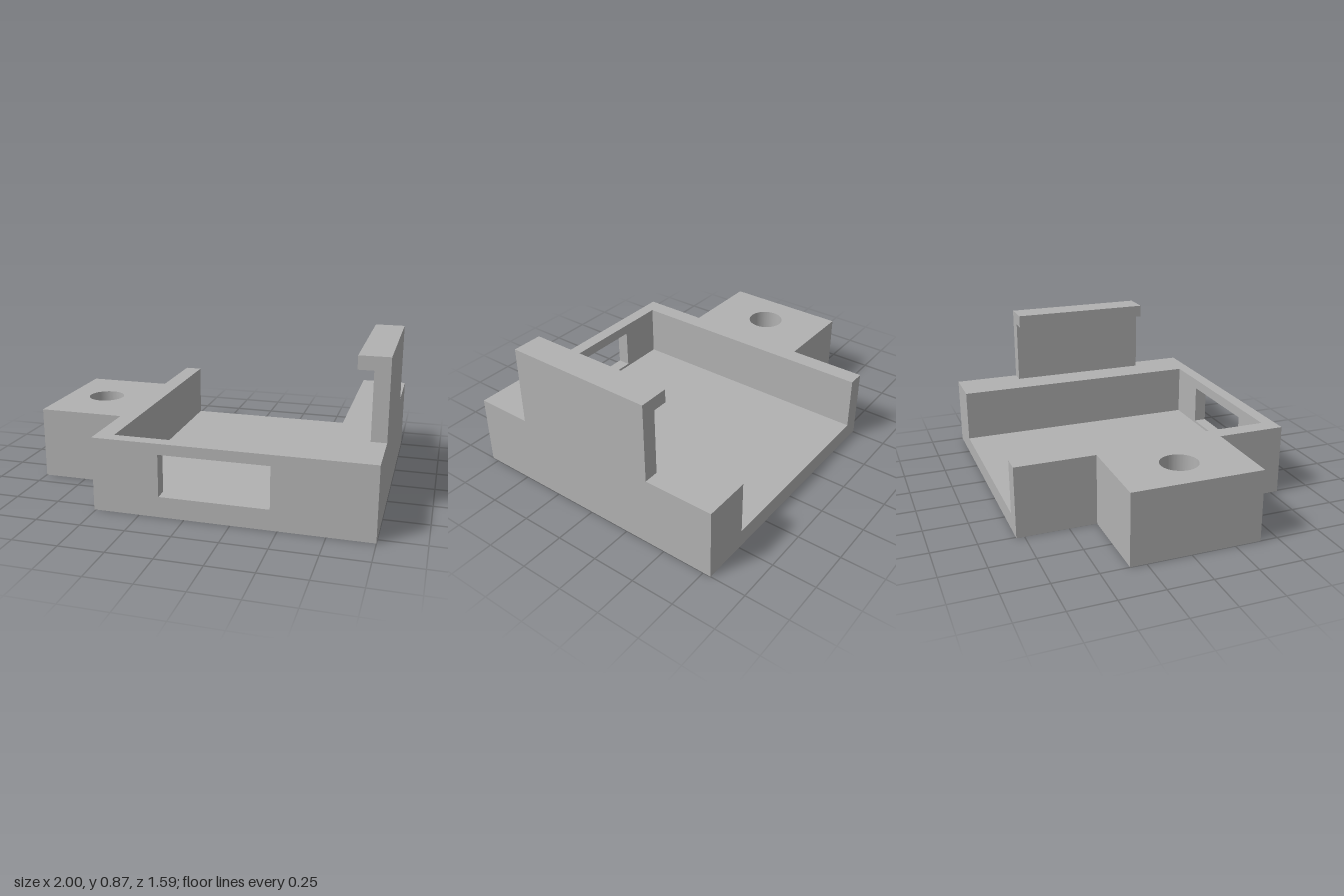
import * as THREE from 'three';
import { toCreasedNormals } from 'three/addons/utils/BufferGeometryUtils.js';

const grey = new THREE.MeshStandardMaterial({ color: 0xb2b2b2 });
grey.name = 'grey plastic';

const H = 0.41; // tray height
const FLOOR = 0.1; // floor thickness

function addMesh(group, name, geometry) {
  const mesh = new THREE.Mesh(geometry, grey);
  mesh.name = name;
  group.add(mesh);
}

// Box given by its extents on each axis
function block(x0, x1, y0, y1, z0, z1) {
  return new THREE.BoxGeometry(x1 - x0, y1 - y0, z1 - z0)
    .translate((x0 + x1) / 2, (y0 + y1) / 2, (z0 + z1) / 2);
}

function polygon(points) {
  return new THREE.Shape(points.map(([x, y]) => new THREE.Vector2(x, y)));
}

function rect(x0, x1, y0, y1) {
  return polygon([[x0, y0], [x1, y0], [x1, y1], [x0, y1]]);
}

// Extrude a front-facing profile from z0 to z1
function extrudeZ(shape, z0, z1) {
  return new THREE.ExtrudeGeometry(shape, { depth: z1 - z0, bevelEnabled: false })
    .translate(0, 0, z0);
}

// Slab of the mounting tab with a round hole through it
function tabSlab(y0, y1, radius) {
  const shape = rect(-1, -0.51, -0.34, 0.4);
  shape.holes.push(new THREE.Path().absarc(-0.757, 0.03, radius, 0, Math.PI * 2, true));
  const geometry = new THREE.ExtrudeGeometry(shape, {
    depth: y1 - y0, bevelEnabled: false, curveSegments: 48,
  }).rotateX(Math.PI / 2).translate(0, y1, 0);
  return toCreasedNormals(geometry, Math.PI / 6);
}

export function createModel() {
  const model = new THREE.Group();
  model.name = 'clipMountTray';

  // Tray, open at the back
  addMesh(model, 'floor', block(-0.41, 0.73, 0, FLOOR, -0.795, 0.72));
  addMesh(model, 'rightWall', block(-0.51, -0.41, 0, H, -0.795, 0.72));
  addMesh(model, 'leftWall', block(0.73, 1, 0, H, -0.795, 0.72));

  // Front wall with a rectangular window
  const front = rect(-0.51, 1, 0, H);
  front.holes.push(rect(-0.14, 0.46, 0.115, 0.35));
  addMesh(model, 'frontWall', extrudeZ(front, 0.72, 0.795));

  // Mounting tab: screw hole above a wider counterbore
  const tab = new THREE.Group();
  tab.name = 'mountingTab';
  addMesh(tab, 'tabCounterbore', tabSlab(0, 0.27, 0.19));
  addMesh(tab, 'tabScrewHole', tabSlab(0.27, H, 0.106));
  model.add(tab);

  // Upright clip with an inward lip
  const clip = polygon([[0.915, H], [1, H], [1, 0.865], [0.83, 0.865], [0.83, 0.79], [0.915, 0.79]]);
  addMesh(model, 'clip', extrudeZ(clip, -0.397, 0.46));

  return model;
}
